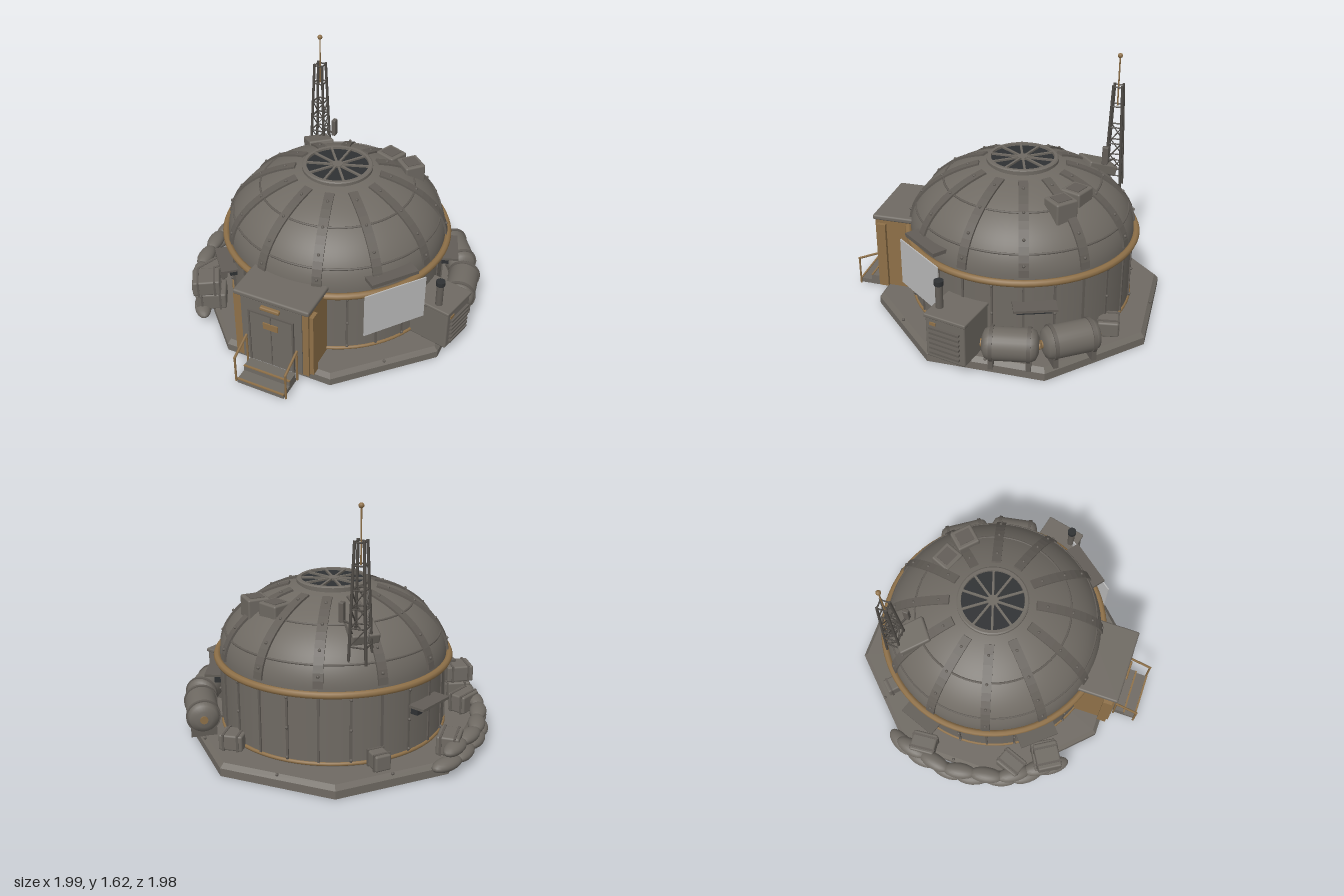
import * as THREE from 'three';
import { toCreasedNormals } from 'three/addons/utils/BufferGeometryUtils.js';
import { RoundedBoxGeometry } from 'three/addons/geometries/RoundedBoxGeometry.js';

const mat = (name, color) => Object.assign(new THREE.MeshStandardMaterial({ color }), { name });
const CX = 0.01, CZ = -0.11, DEG = Math.PI / 180;

export function createModel() {
  const metal = mat('grey metal', 0x6f6a63);
  const trim = mat('darker metal', 0x625d57);
  const mast = mat('mast metal', 0x504c47);
  const tan = mat('tan trim', 0x8e7048);
  const dark = mat('dark glass', 0x2f3133);
  const pale = mat('pale panel', 0xbababa);

  const model = new THREE.Group();
  // hub is centred on the dome axis
  const hub = new THREE.Group();
  hub.name = 'shelter';
  hub.position.set(CX, 0, CZ);
  model.add(hub);

  const add = (parent, name, geo, m, x = 0, y = 0, z = 0) => {
    const mesh = new THREE.Mesh(geo, m);
    mesh.name = name;
    mesh.position.set(x, y, z);
    parent.add(mesh);
    return mesh;
  };
  const box = (w, h, d) => new THREE.BoxGeometry(w, h, d);
  const soft = (w, h, d, r = 0.012) => new RoundedBoxGeometry(w, h, d, 2, r);
  const cyl = (r0, r1, h, n = 20) => new THREE.CylinderGeometry(r0, r1, h, n);
  const ring = (r, t, n = 72) => new THREE.TorusGeometry(r, t, 8, n).rotateX(Math.PI / 2);
  // group around the axis whose +z points outward; angle runs from front to left
  const around = (name, deg, r, y) => {
    const g = new THREE.Group();
    g.name = name;
    g.position.set(Math.sin(deg * DEG) * r, y, Math.cos(deg * DEG) * r);
    g.rotation.y = deg * DEG;
    hub.add(g);
    return g;
  };
  // straight bar between two points
  const bar = (parent, name, a, b, r, m, n = 6) => {
    const p = new THREE.Vector3(...a), q = new THREE.Vector3(...b);
    const mesh = add(parent, name, cyl(r, r, p.distanceTo(q), n), m);
    mesh.position.copy(p).add(q).multiplyScalar(0.5);
    mesh.quaternion.setFromUnitVectors(new THREE.Vector3(0, 1, 0), q.sub(p).normalize());
  };
  const boltGeo = new THREE.SphereGeometry(0.01, 8, 6);

  // octagonal base
  const oct = (top, bottom, h) =>
    toCreasedNormals(cyl(top * 1.0824, bottom * 1.0824, h, 8).rotateY(Math.PI / 8), 0.3);
  add(hub, 'baseSlab', oct(0.875, 0.875, 0.05), metal, 0, 0.025, 0);
  add(hub, 'baseBevel', oct(0.85, 0.875, 0.028), metal, 0, 0.064, 0);
  for (let i = 0; i < 8; i++) add(around('baseBolt', i * 45, 0.865, 0.078), 'bolt', boltGeo, trim);

  // round wall with battens
  add(hub, 'wall', new THREE.CylinderGeometry(0.715, 0.715, 0.48, 72, 1, true), metal, 0, 0.31, 0);
  add(hub, 'footRing', ring(0.715, 0.012), tan, 0, 0.095, 0);
  add(hub, 'eaveRing', ring(0.738, 0.022), tan, 0, 0.538, 0);
  for (let i = 0; i < 24; i++) {
    const g = around('wallBatten', i * 15, 0.716, 0.31);
    add(g, 'batten', box(0.014, 0.44, 0.014), trim);
    if (i % 2 === 0) for (const y of [-0.19, 0, 0.19]) add(g, 'bolt', boltGeo, trim, 0, y, 0.009);
  }

  // dome
  const domeY = r => 0.55 + 0.45 * Math.sqrt(1 - (r / 0.72) ** 2);
  const arc = (t, grow = 0) =>
    new THREE.Vector2(Math.cos(t) * (0.72 + grow), 0.55 + Math.sin(t) * (0.45 + grow));
  const domePts = [];
  for (let i = 0; i <= 24; i++) domePts.push(arc((i / 24) * 1.3));
  add(hub, 'dome', new THREE.LatheGeometry(domePts, 72), metal);
  for (const r of [0.68, 0.5]) add(hub, 'domeSeam', ring(r, 0.007), trim, 0, domeY(r), 0);

  // curved ribs with bolts
  const ribPts = [];
  for (let i = 0; i <= 12; i++) ribPts.push(arc(0.05 + (i / 12) * 1.13, 0.013));
  for (let i = 12; i >= 0; i--) ribPts.push(arc(0.05 + (i / 12) * 1.13, -0.01));
  const ribGeo = new THREE.ExtrudeGeometry(new THREE.Shape(ribPts), { depth: 0.06, bevelEnabled: false })
    .translate(0, 0, -0.03).rotateY(-Math.PI / 2);
  for (let i = 0; i < 12; i++) {
    const g = around('domeRib', 15 + i * 30, 0, 0);
    add(g, 'rib', ribGeo, trim);
    for (const t of [0.2, 0.5, 0.8, 1.08]) {
      const p = arc(t, 0.014);
      add(g, 'bolt', boltGeo, trim, 0, p.y, p.x);
    }
  }

  // skylight
  const collar = [[0.235, 0.95], [0.235, 0.975], [0.212, 0.98], [0.212, 0.99], [0.228, 0.993], [0.228, 1.012],
    [0.22, 1.018], [0.2, 1.018], [0.198, 0.99]].map(p => new THREE.Vector2(...p));
  add(hub, 'skylightCollar', toCreasedNormals(new THREE.LatheGeometry(collar, 48), 0.6), metal);
  add(hub, 'skylightGlass', cyl(0.2, 0.2, 0.01, 40), dark, 0, 0.998, 0);
  add(hub, 'skylightHub', cyl(0.035, 0.035, 0.016, 16), metal, 0, 1.01, 0);
  for (let i = 0; i < 10; i++)
    add(around('skylightSpoke', i * 36, 0.11, 1.01), 'spoke', box(0.014, 0.012, 0.18), metal);

  // entrance porch
  const porch = new THREE.Group();
  porch.name = 'porch';
  porch.position.x = CX;
  model.add(porch);
  add(porch, 'porchBody', box(0.49, 0.5, 0.34), tan, 0, 0.32, 0.645);
  add(porch, 'porchFront', box(0.41, 0.48, 0.008), metal, 0, 0.32, 0.818);
  add(porch, 'porchRoof', soft(0.51, 0.035, 0.38), metal, 0, 0.58, 0.64);
  add(porch, 'door', box(0.285, 0.39, 0.012), metal, 0, 0.275, 0.824);
  add(porch, 'doorSeam', box(0.008, 0.38, 0.006), trim, 0, 0.275, 0.83);
  for (const s of [-1, 1]) {
    add(porch, 'doorFrameSide', box(0.012, 0.4, 0.02), trim, s * 0.148, 0.28, 0.825);
    add(porch, 'porchPost', box(0.03, 0.46, 0.06), tan, s * 0.255, 0.31, 0.77);
    bar(porch, 'railPost', [s * 0.173, 0.01, 0.985], [s * 0.173, 0.205, 0.985], 0.007, tan);
    bar(porch, 'railPost', [s * 0.173, 0.03, 0.835], [s * 0.173, 0.27, 0.835], 0.007, tan);
    bar(porch, 'handRail', [s * 0.173, 0.2, 0.99], [s * 0.173, 0.268, 0.83], 0.008, tan);
  }
  add(porch, 'doorFrameTop', box(0.31, 0.012, 0.02), trim, 0, 0.475, 0.825);
  add(porch, 'doorPlate', box(0.1, 0.045, 0.008), tan, 0, 0.392, 0.834);
  add(porch, 'porchLamp', soft(0.13, 0.026, 0.03, 0.008), tan, 0, 0.528, 0.83);
  // steps
  add(porch, 'upperStep', box(0.32, 0.068, 0.08), metal, 0, 0.04, 0.87);
  add(porch, 'lowerStep', box(0.32, 0.03, 0.085), metal, 0, 0.022, 0.95);
  add(porch, 'stepNosing', box(0.32, 0.008, 0.012), tan, 0, 0.075, 0.906);
  add(porch, 'stepNosing', box(0.32, 0.008, 0.012), tan, 0, 0.037, 0.988);

  // pale panel and bar over it
  const screen = around('sidePanel', 51.7, 0.785, 0);
  add(screen, 'panelSheet', box(0.425, 0.31, 0.008), pale, 0, 0.43, 0);
  add(screen, 'panelBar', box(0.32, 0.025, 0.1), trim, 0, 0.637, -0.055);

  // slit windows with shelves
  for (const a of [110, -110, -49]) {
    const g = around('slitWindow', a, 0.72, 0);
    add(g, 'windowShade', box(0.26, 0.016, 0.11), trim, 0, 0.394, 0.04);
    add(g, 'windowGlass', box(0.21, 0.045, 0.05), dark, 0, 0.36, 0.01);
  }

  // generator
  const gen = around('generator', 77, 0.83, 0);
  add(gen, 'generatorBody', soft(0.265, 0.28, 0.28), metal, 0, 0.215, 0);
  add(gen, 'generatorLid', soft(0.28, 0.025, 0.295, 0.008), metal, 0, 0.36, 0);
  for (let i = 0; i < 6; i++) add(gen, 'generatorSlat', box(0.2, 0.014, 0.025), trim, 0, 0.12 + i * 0.034, 0.145);
  add(gen, 'generatorTag', box(0.04, 0.02, 0.008), tan, -0.08, 0.315, 0.142);
  add(gen, 'exhaustPipe', cyl(0.023, 0.023, 0.18), trim, -0.09, 0.455, 0.045);
  add(gen, 'exhaustCap', cyl(0.029, 0.029, 0.03), dark, -0.09, 0.54, 0.045);

  // storage tanks
  for (const [a, r, len] of [[100, 0.865, 0.34], [124, 0.85, 0.36]]) {
    const g = around('tank', a, r, 0.205);
    const h = len / 2;
    const prof = [[0, -h], [0.05, -h + 0.004], [0.085, -h + 0.02], [0.1, -h + 0.05],
      [0.1, h - 0.05], [0.085, h - 0.02], [0.05, h - 0.004], [0, h]].map(p => new THREE.Vector2(...p));
    add(g, 'tankBody', new THREE.LatheGeometry(prof, 28).rotateZ(Math.PI / 2), metal);
    for (const s of [-1, 1]) {
      add(g, 'tankBand', cyl(0.107, 0.107, 0.022, 28).rotateZ(Math.PI / 2), trim, s * (h - 0.06));
      add(g, 'tankFoot', box(0.03, 0.07, 0.16), trim, s * (h - 0.06), -0.095, 0);
      add(g, 'tankCap', cyl(0.025, 0.025, 0.012, 16).rotateZ(Math.PI / 2), tan, s * h);
    }
  }

  // sandbag wall in two rows
  const bagGeo = new THREE.SphereGeometry(1, 16, 12).scale(0.115, 0.04, 0.055);
  for (let row = 0; row < 2; row++)
    for (let i = 0; i < 7 - row; i++) {
      const g = around('sandbag', -46 - (i + row / 2) * 11.3, 0.95 - row * 0.012, 0.075 + row * 0.068);
      add(g, 'bag', bagGeo, metal).rotation.y = (i % 2 ? 1 : -1) * 0.1;
    }

  // crates: x, y, z, turn, width, height, depth
  const crates = [[-0.64, 0.14, 0.48, 0.5, 0.2, 0.12, 0.17], [-0.66, 0.255, 0.5, 0.55, 0.18, 0.11, 0.16],
    [-0.76, 0.14, 0.28, -0.35, 0.13, 0.12, 0.17], [-0.83, 0.14, -0.33, 0.08, 0.14, 0.12, 0.17],
    [0.4, 0.13, -0.76, 0.15, 0.15, 0.1, 0.13], [-0.5, 0.13, -0.68, -0.75, 0.13, 0.1, 0.1]];
  for (const [x, y, z, turn, w, h, d] of crates) {
    const g = new THREE.Group();
    g.name = 'crate';
    g.position.set(x, y, z);
    g.rotation.y = turn;
    model.add(g);
    add(g, 'crateBody', soft(w, h, d), metal);
    for (const s of [-1, 1]) add(g, 'crateStrap', box(0.014, h + 0.008, d + 0.008), trim, s * w * 0.3);
  }

  // roof units
  for (const [x, z, turn] of [[0.225, -0.5, -0.4], [0.39, -0.44, -0.75]]) {
    const unit = add(model, 'roofUnit', soft(0.15, 0.14, 0.14), metal, x, 0.875, z);
    unit.rotation.y = turn;
    add(unit, 'unitLid', box(0.1, 0.008, 0.09), trim, 0, 0.07, 0);
  }
  const plinth = add(around('mastBox', -141, 0.54, 0.86), 'box', soft(0.17, 0.07, 0.22), metal);
  plinth.rotation.x = 0.35;
  add(model, 'mastAerialPlate', soft(0.03, 0.12, 0.04, 0.006), trim, -0.24, 0.97, -0.595);
  bar(model, 'mastAerialArm', [-0.24, 0.92, -0.595], [-0.34, 0.91, -0.64], 0.007, mast);

  // lattice mast
  const tower = new THREE.Group();
  tower.name = 'mast';
  tower.position.set(-0.368, 0, -0.637);
  model.add(tower);
  const half = y => 0.052 - ((y - 0.72) / 0.69) * 0.024;
  const corner = (i, y) => [[1, 1], [1, -1], [-1, -1], [-1, 1]][i % 4].map(s => s * half(y));
  const pt = (i, y) => { const [x, z] = corner(i, y); return [x, y, z]; };
  const levels = [0.8, 0.91, 1.02, 1.13, 1.27, 1.4];
  for (let i = 0; i < 4; i++) {
    bar(tower, 'mastLeg', pt(i, 0.7), pt(i, 1.41), 0.009, mast);
    levels.forEach((y, k) => {
      bar(tower, 'mastRung', pt(i, y), pt(i + 1, y), 0.005, mast);
      if (k < 3) bar(tower, 'mastBrace', pt(i, y), pt(i + 1, levels[k + 1]), 0.004, mast);
    });
  }
  bar(tower, 'antennaRod', [0, 1.27, 0], [0, 1.6, 0], 0.005, tan, 8);
  add(tower, 'antennaBall', new THREE.SphereGeometry(0.016, 16, 12), tan, 0, 1.6, 0);

  return model;
}
